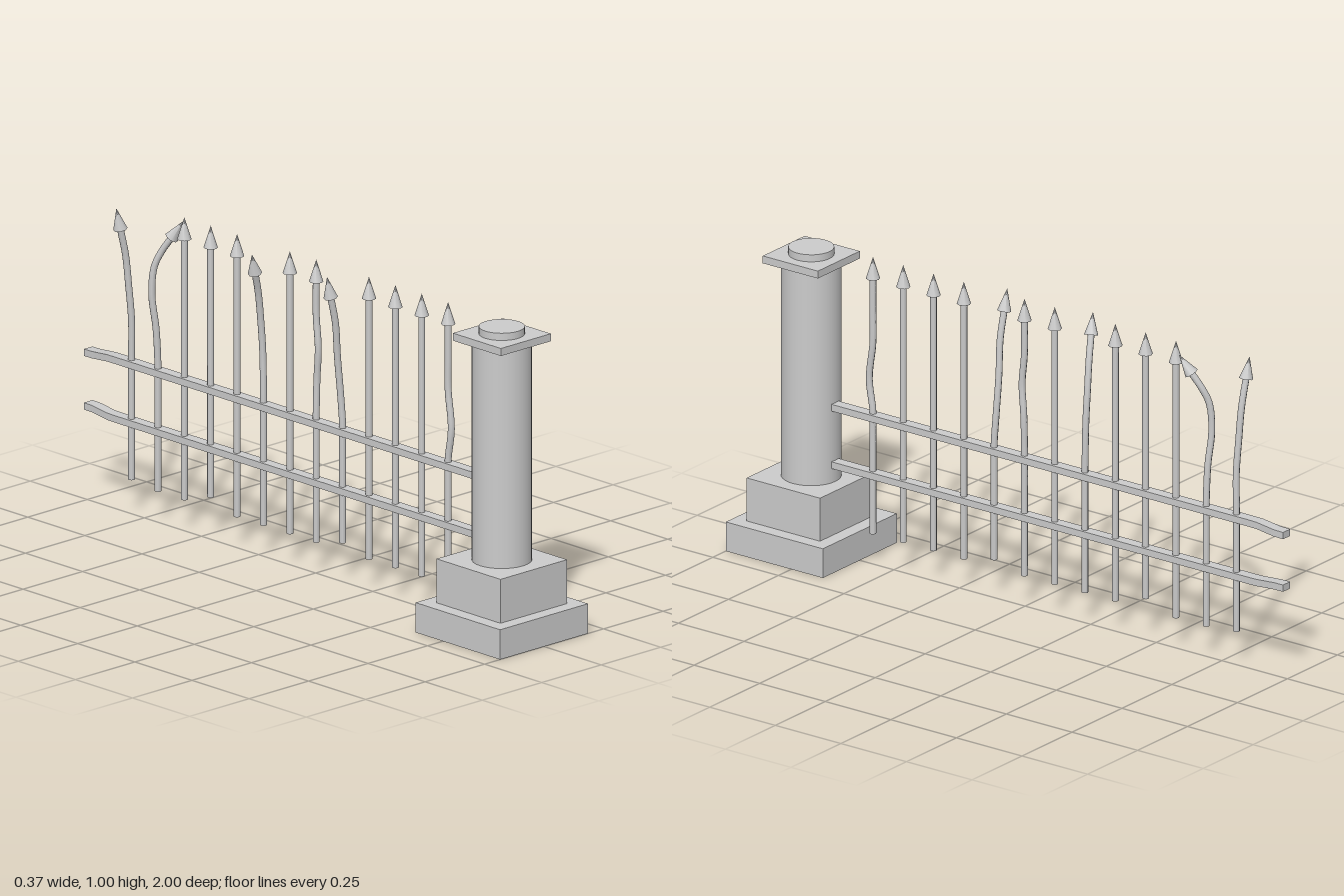
import * as THREE from 'three';

const material = new THREE.MeshStandardMaterial({ color: 0xcccccc });
const UP = new THREE.Vector3(0, 1, 0);

function add(parent, name, geometry, x = 0, y = 0, z = 0) {
  const mesh = new THREE.Mesh(geometry, material);
  mesh.name = name;
  mesh.position.set(x, y, z);
  parent.add(mesh);
  return mesh;
}

// Stepped square base, round shaft, square cap and a disc on top
function createPillar() {
  const pillar = new THREE.Group();
  pillar.name = 'pillar';
  pillar.position.z = 0.815;
  add(pillar, 'lowerBase', new THREE.BoxGeometry(0.37, 0.095, 0.37), 0, 0.0475);
  add(pillar, 'upperBase', new THREE.BoxGeometry(0.28, 0.14, 0.28), 0, 0.165);
  add(pillar, 'shaft', new THREE.CylinderGeometry(0.092, 0.092, 0.697, 32), 0, 0.5835);
  add(pillar, 'cap', new THREE.BoxGeometry(0.21, 0.024, 0.21), 0, 0.943);
  add(pillar, 'capDisc', new THREE.CylinderGeometry(0.07, 0.07, 0.023, 32), 0, 0.9665);
  return pillar;
}

// Long flat rail whose free end is slightly bent
function createRail(name, y, endLift) {
  const geometry = new THREE.BoxGeometry(0.036, 0.022, 1.74, 1, 1, 50);
  geometry.translate(0, y, -0.13);
  const p = geometry.attributes.position;
  for (let i = 0; i < p.count; i++) {
    const t = THREE.MathUtils.smoothstep(-p.getZ(i), 0.88, 0.98);
    p.setY(i, p.getY(i) + endLift * t);
    p.setX(i, p.getX(i) + 0.004 * t);
  }
  geometry.computeVertexNormals();
  const rail = new THREE.Mesh(geometry, material);
  rail.name = name;
  return rail;
}

// Damage by bar number: bend points are [x, y, z offset], ending at the head
const damage = {
  0: { bend: [[0, 0.5, 0], [0, 0.6, 0.014], [0, 0.72, 0], [0, 0.82, 0], [0, 0.93, 0]] },
  4: { bottom: 0.125, bend: [[0, 0.5, 0], [-0.004, 0.6, -0.005], [-0.016, 0.72, -0.006], [-0.03, 0.83, 0], [-0.05, 0.918, 0]] },
  5: { bend: [[0, 0.52, 0], [0.003, 0.62, 0], [0, 0.72, 0.009], [0, 0.82, 0], [0, 0.93, 0]] },
  7: { bend: [[0, 0.5, 0], [0, 0.65, -0.003], [-0.01, 0.76, -0.002], [-0.027, 0.85, 0.005], [-0.05, 0.918, 0.015]] },
  9: { bottom: 0.135 },
  11: { bend: [[0, 0.5, 0], [-0.008, 0.62, 0], [-0.02, 0.73, -0.006], [-0.015, 0.82, 0], [0, 0.87, 0.018], [0.014, 0.915, 0.045]] },
  12: { bottom: 0.11, bend: [[0, 0.5, 0], [-0.004, 0.62, 0.004], [-0.014, 0.73, 0.002], [-0.025, 0.83, 0], [-0.045, 0.918, -0.002]] },
};

// Round bar with a pointed head that follows the direction of its end
function createBar(z, { bottom = 0.1, bend } = {}) {
  const bar = new THREE.Group();
  bar.name = 'fenceBar';
  bar.position.z = z;
  const radius = 0.0105;
  const straightTop = bend ? 0.45 : 0.93;
  add(bar, 'shaft', new THREE.CylinderGeometry(radius, radius, straightTop - bottom, 8),
    0, (straightTop + bottom) / 2);
  let end = new THREE.Vector3(0, 0.93, 0);
  let direction = UP;
  if (bend) {
    const points = [[0, 0.4, 0], [0, 0.45, 0], ...bend].map((p) => new THREE.Vector3(...p));
    const curve = new THREE.CatmullRomCurve3(points);
    add(bar, 'bentShaft', new THREE.TubeGeometry(curve, 24, radius, 8));
    end = curve.getPoint(1);
    direction = curve.getTangent(1);
  }
  const head = add(bar, 'spearHead', new THREE.ConeGeometry(0.022, 0.07, 8));
  head.position.copy(end).addScaledVector(direction, 0.035);
  head.quaternion.setFromUnitVectors(UP, direction);
  return bar;
}

export function createModel() {
  const model = new THREE.Group();
  model.name = 'brokenFence';
  model.add(createPillar());
  model.add(createRail('upperRail', 0.48, -0.008));
  model.add(createRail('lowerRail', 0.293, 0.008));
  for (let i = 0; i < 13; i++) model.add(createBar(0.58 - i * 0.1155, damage[i]));
  return model;
}
